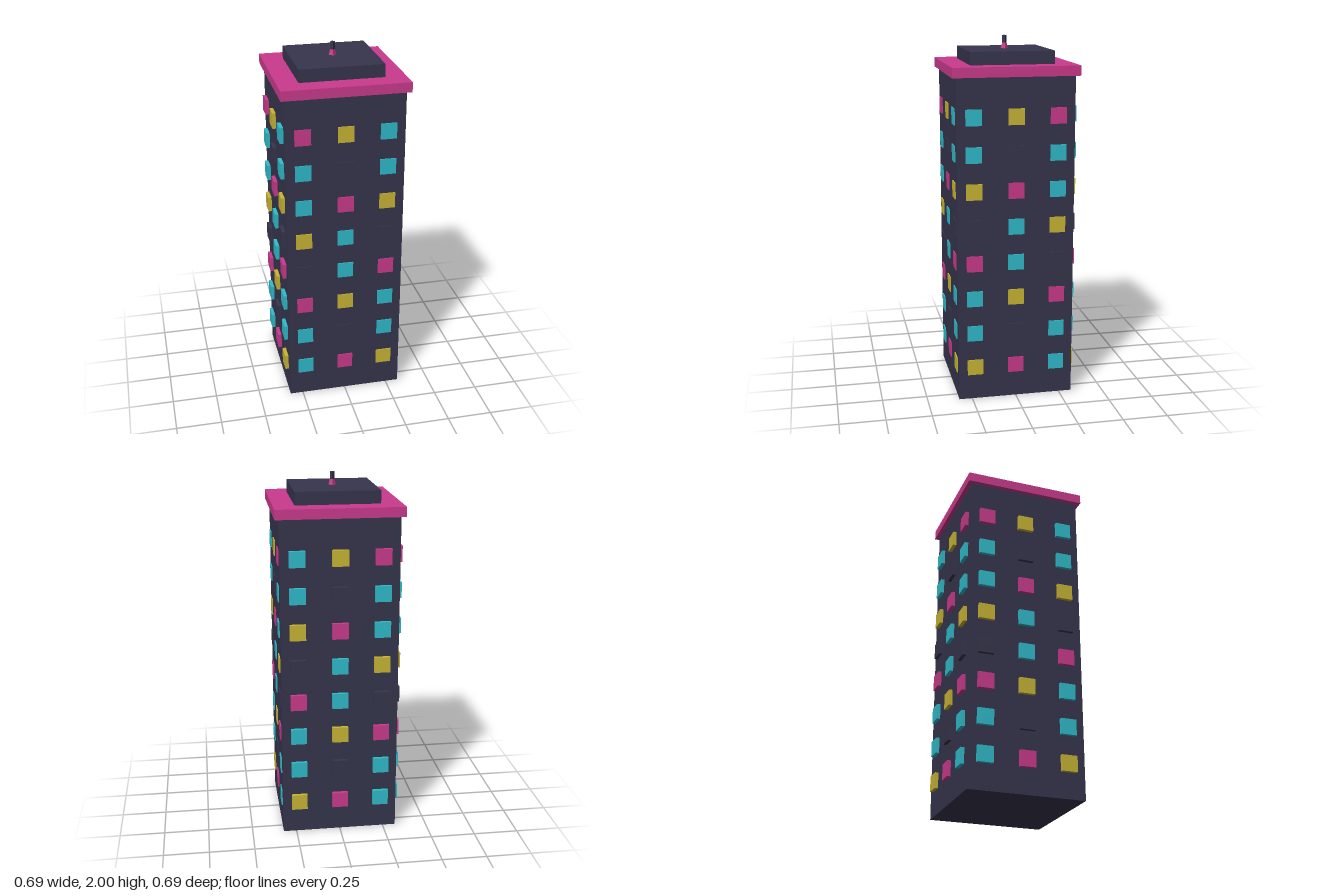
import * as THREE from 'three';

const paint = (name, color) => Object.assign(new THREE.MeshStandardMaterial({ color, flatShading: true }), { name });

export function createModel() {
  const slate = paint('slate', 0x36354d);
  const pink = paint('pink', 0xcb3a8d);
  const cyan = paint('cyan', 0x2fbccb);
  const yellow = paint('yellow', 0xc9b534);

  const model = new THREE.Group();
  model.name = 'towerBlock';

  const add = (parent, name, geometry, material, x, y, z) => {
    const mesh = new THREE.Mesh(geometry, material);
    mesh.name = name;
    mesh.position.set(x, y, z);
    parent.add(mesh);
    return mesh;
  };
  const slab = (name, width, y0, y1, material) =>
    add(model, name, new THREE.BoxGeometry(width, y1 - y0, width), material, 0, (y0 + y1) / 2, 0);

  // Tower, overhanging cornice and rooftop housing
  const half = 0.323;
  slab('tower', half * 2, 0, 1.803, slate);
  slab('cornice', 0.692, 1.803, 1.857, pink);
  slab('roofHousing', 0.461, 1.857, 1.928, slate);

  // Four-sided antenna on a tapered foot
  add(model, 'antennaFoot', new THREE.CylinderGeometry(0.013, 0.021, 0.03, 4), pink, 0, 1.943, 0);
  add(model, 'antenna', new THREE.CylinderGeometry(0.013, 0.013, 0.042, 4), slate, 0, 1.979, 0);

  // Window colours from the bottom floor up; the dark ones are unlit
  const floors = ['CPY', 'CDC', 'PYC', 'DCP', 'YCD', 'CPY', 'CDC', 'PYC'];
  const colours = { C: cyan, P: pink, Y: yellow, D: slate };

  // Windows stand out further on the back and -x walls
  const walls = [
    { name: 'frontWindows', axis: 'z', sign: 1, depth: 0.006 },
    { name: 'backWindows', axis: 'z', sign: -1, depth: 0.02 },
    { name: 'leftWindows', axis: 'x', sign: 1, depth: 0.006 },
    { name: 'rightWindows', axis: 'x', sign: -1, depth: 0.02 },
  ];
  for (const { name, axis, sign, depth } of walls) {
    const group = new THREE.Group();
    group.name = name;
    model.add(group);
    const size = 0.088;
    const pane = axis === 'z'
      ? new THREE.BoxGeometry(size, size, depth)
      : new THREE.BoxGeometry(depth, size, size);
    const out = sign * (half + depth / 2);
    floors.forEach((row, floor) => {
      [...row].forEach((key, column) => {
        const along = (column - 1) * 0.231;
        const y = 0.187 + floor * 0.2007;
        add(group, 'window', pane, colours[key], axis === 'z' ? along : out, y, axis === 'z' ? out : along);
      });
    });
  }
  return model;
}
